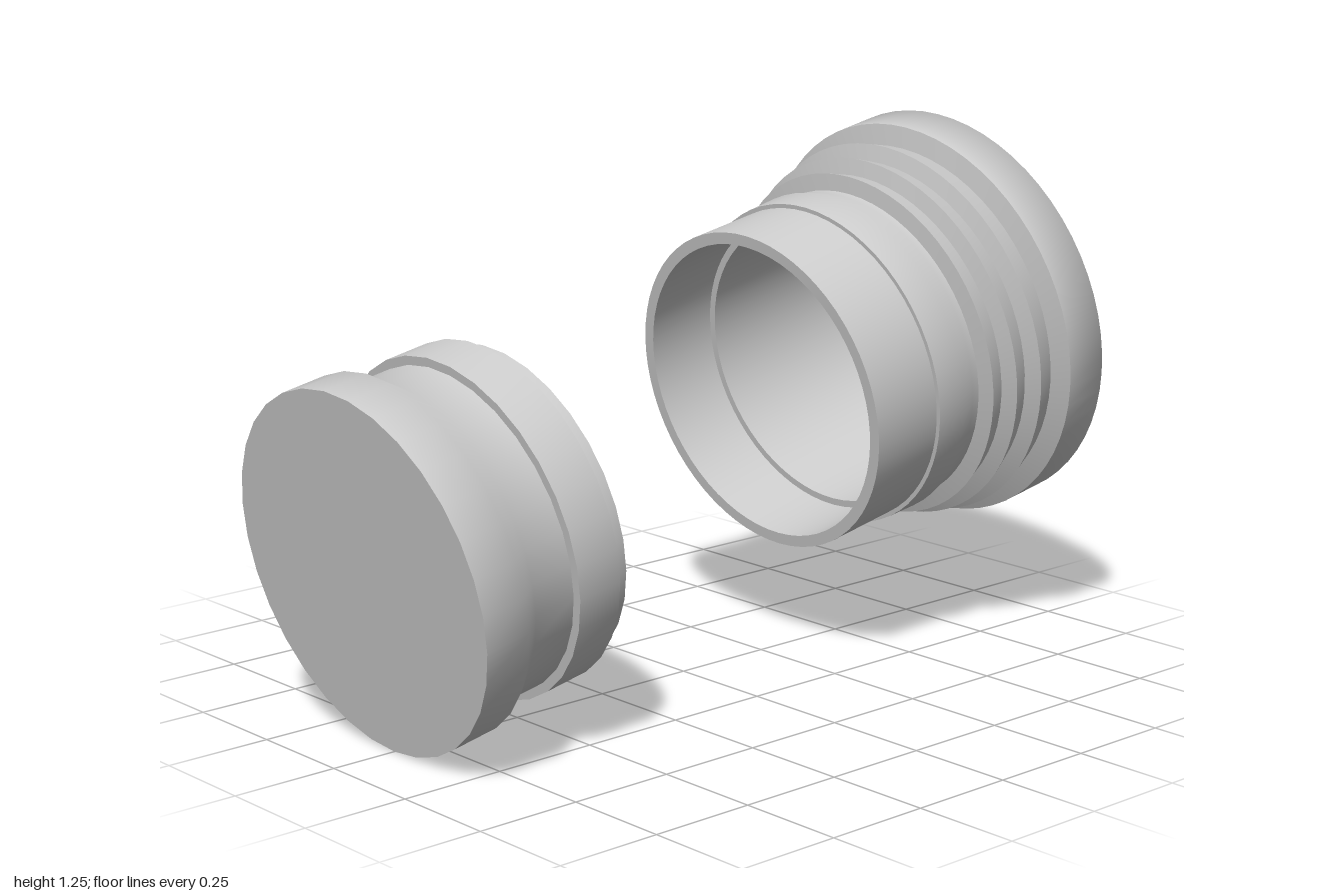
import * as THREE from 'three';
import { toCreasedNormals } from 'three/addons/utils/BufferGeometryUtils.js';

const material = new THREE.MeshStandardMaterial({ color: 0xcccccc });
material.name = 'light grey';

// Turned part from [radius, height] pairs; sharp steps stay sharp, gentle bends stay smooth
function turned(name, profile, sides) {
  const points = profile.map(([r, h]) => new THREE.Vector2(r, h));
  const geometry = toCreasedNormals(new THREE.LatheGeometry(points, sides), THREE.MathUtils.degToRad(71));
  const mesh = new THREE.Mesh(geometry, material);
  mesh.name = name;
  return mesh;
}

export function createModel() {
  const model = new THREE.Group();
  model.name = 'plugAndCap';

  // Both parts share one tilted axis
  const axis = new THREE.Group();
  axis.name = 'tiltedAxis';
  axis.position.set(-0.92, 0.413, 0);
  axis.rotation.z = THREE.MathUtils.degToRad(-79);
  model.add(axis);

  // Solid plug: wide base, waist, collar and end boss
  axis.add(turned('plug', [
    [0, 0], [0.418, 0], [0.418, 0.111], [0.378, 0.164], [0.378, 0.268],
    [0.399, 0.268], [0.399, 0.38], [0.377, 0.38], [0.377, 0.417], [0, 0.417],
  ], 32));

  // Hollow cap: bore, rim, sleeve, flared ribs and domed head
  const ribs = [
    [0.39, 0.335], [0.43, 0.342], [0.414, 0.388], [0.452, 0.4],
    [0.43, 0.452], [0.468, 0.466], [0.447, 0.524], [0.496, 0.538],
  ];
  const cap = turned('cap', [
    [0, 0.62], [0.345, 0.62], [0.345, 0.19], [0.362, 0.19], [0.362, 0],
    [0.39, 0], [0.39, 0.192], [0.4, 0.192], [0.403, 0.272], [0.39, 0.315],
    ...ribs,
    [0.497, 0.651], [0.336, 0.713], [0, 0.713],
  ], 64);
  cap.position.y = 1.177;
  axis.add(cap);

  return model;
}
